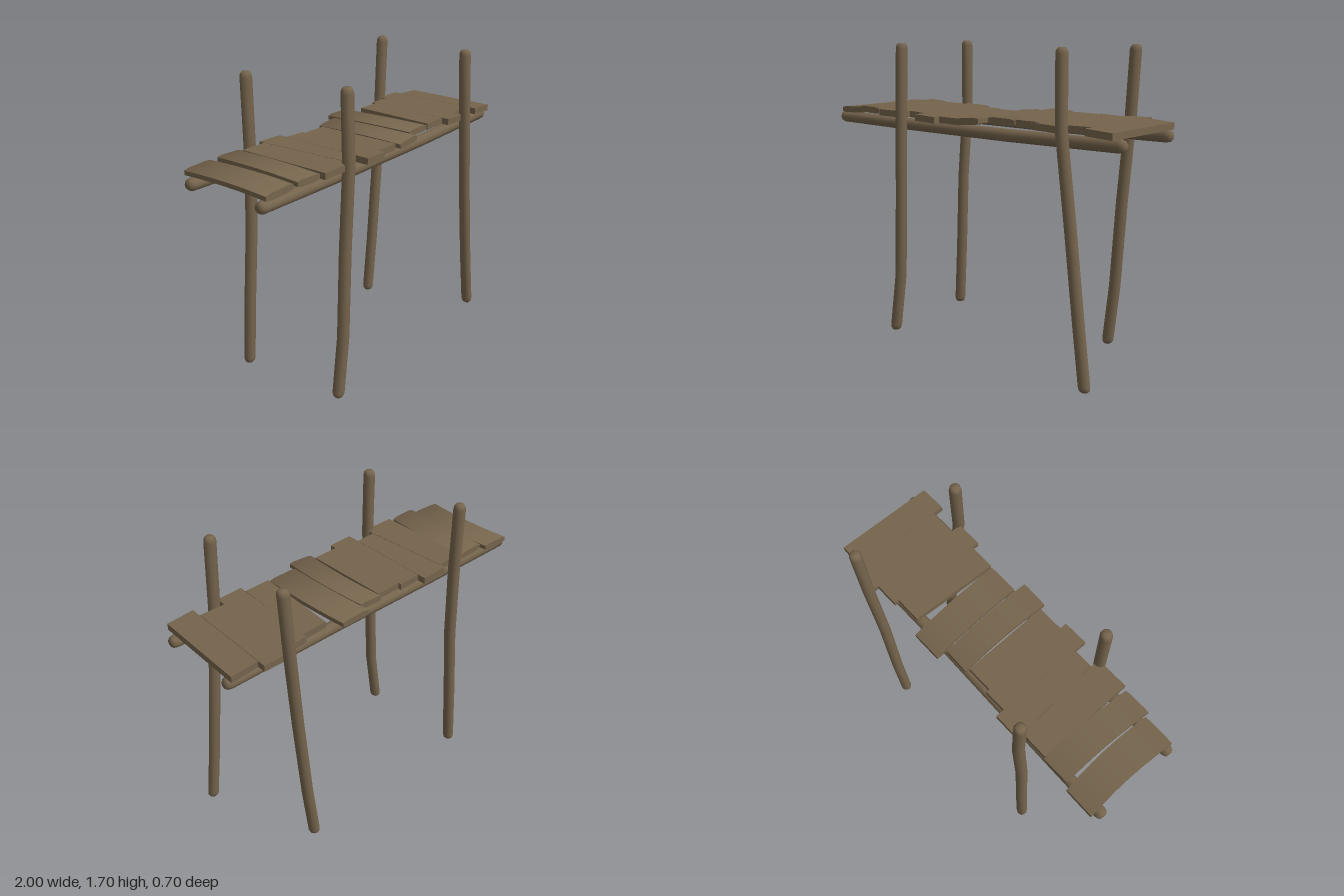
import * as THREE from 'three';
import { mergeVertices } from 'three/addons/utils/BufferGeometryUtils.js';

const wood = new THREE.MeshStandardMaterial({ color: 0x75644c });
wood.name = 'weatheredWood';

// Round log with worn ends, running up y along a bent path of [y, x, z]
function logGeometry(path, r) {
  const y0 = path[0][0], y1 = path[path.length - 1][0];
  const profile = [[0, y0], [r * 0.6, y0], [r * 0.9, y0 + 0.012], [r, y0 + 0.03]];
  for (const p of path.slice(1, -1)) profile.push([r, p[0]]);
  profile.push([r, y1 - 0.03], [r * 0.9, y1 - 0.012], [r * 0.6, y1], [0, y1]);
  let geo = new THREE.LatheGeometry(profile.map(p => new THREE.Vector2(p[0], p[1])), 10);
  const pos = geo.attributes.position;
  for (let i = 0; i < pos.count; i++) {
    const y = pos.getY(i);
    let k = 0;
    while (k < path.length - 2 && y > path[k + 1][0]) k++;
    const a = path[k], b = path[k + 1], t = (y - a[0]) / (b[0] - a[0]);
    pos.setX(i, pos.getX(i) + a[1] + (b[1] - a[1]) * t);
    pos.setZ(i, pos.getZ(i) + a[2] + (b[2] - a[2]) * t);
  }
  geo.deleteAttribute('uv');
  geo.deleteAttribute('normal');
  geo = mergeVertices(geo, 1e-4);
  geo.computeVertexNormals();
  return geo;
}

// Slightly bowed board: x limits at back and front, z limits, height at left and right edge
function plankGeometry([backA, backB, frontA, frontB, z0, z1, yA, yB, bow]) {
  const thick = 0.036;
  const geo = new THREE.BoxGeometry(1, 1, 1, 6, 1, 6);
  const pos = geo.attributes.position, nor = geo.attributes.normal;
  for (let i = 0; i < pos.count; i++) {
    const u = pos.getX(i) + 0.5, v = pos.getZ(i) + 0.5;
    const xa = backA + (frontA - backA) * v, xb = backB + (frontB - backB) * v;
    const worn = bow && (u < 0.01 || u > 0.99) ? 0.65 : 1;
    pos.setXYZ(i,
      xa + (xb - xa) * u + bow * 4 * v * (1 - v),
      yA + (yB - yA) * u + pos.getY(i) * thick * worn,
      z0 + (z1 - z0) * v);
    // loose boards have softly rolled ends
    if (bow && Math.abs(nor.getY(i)) > 0.5) {
      const n = new THREE.Vector3(0, nor.getY(i), (v - 0.5) * 0.9).normalize();
      nor.setXYZ(i, n.x, n.y, n.z);
    }
  }
  return geo;
}

export function createModel() {
  const model = new THREE.Group();
  const add = (geo, name) => {
    const mesh = new THREE.Mesh(geo, wood);
    mesh.name = name;
    model.add(mesh);
  };

  // Four crooked posts
  const posts = {
    frontRightPost: [[0, -0.515, 0.313], [0.35, -0.465, 0.31], [0.85, -0.445, 0.31], [1.3, -0.424, 0.317], [1.7, -0.42, 0.305]],
    backRightPost: [[0, -0.56, -0.313], [0.4, -0.535, -0.308], [0.85, -0.507, -0.296], [1.3, -0.48, -0.308], [1.7, -0.482, -0.31]],
    frontLeftPost: [[0, 0.845, 0.313], [0.35, 0.797, 0.31], [0.85, 0.735, 0.31], [1.3, 0.68, 0.317], [1.7, 0.667, 0.305]],
    backLeftPost: [[0, 0.585, -0.313], [0.35, 0.623, -0.312], [0.85, 0.657, -0.304], [1.3, 0.69, -0.31], [1.7, 0.71, -0.31]],
  };
  for (const name in posts) add(logGeometry(posts[name], 0.033), name);

  // Two long rails under the deck, built upright and laid along x
  const rails = {
    frontRail: [[-1, -1.248, 0.25], [-0.4, -1.243, 0.256], [0.3, -1.242, 0.256], [1, -1.248, 0.246]],
    backRail: [[-1, -1.25, -0.218], [-0.4, -1.243, -0.208], [0.3, -1.243, -0.195], [1, -1.25, -0.2]],
  };
  for (const name in rails) add(logGeometry(rails[name], 0.034).rotateZ(-Math.PI / 2), name);

  // Deck boards from right end to left end
  const planks = [
    [-0.965, -0.79, -0.975, -0.79, -0.275, 0.278, 1.293, 1.3, 0.016],
    [-0.765, -0.605, -0.785, -0.625, -0.252, 0.302, 1.312, 1.307, 0.012],
    [-0.6, -0.44, -0.605, -0.41, -0.24, 0.318, 1.303, 1.302, 0],
    [-0.44, -0.28, -0.41, -0.295, -0.275, 0.262, 1.302, 1.297, 0],
    [-0.28, -0.15, -0.295, -0.15, -0.225, 0.337, 1.297, 1.292, 0],
    [-0.15, 0.002, -0.15, 0.002, -0.205, 0.297, 1.292, 1.291, 0],
    [0.005, 0.15, 0.005, 0.16, -0.23, 0.328, 1.297, 1.309, 0.012],
    [0.155, 0.33, 0.175, 0.35, -0.29, 0.265, 1.312, 1.31, 0.008],
    [0.39, 0.54, 0.358, 0.51, -0.228, 0.268, 1.311, 1.31, 0],
    [0.54, 0.68, 0.51, 0.66, -0.255, 0.31, 1.31, 1.305, 0],
    [0.68, 0.83, 0.66, 0.81, -0.293, 0.25, 1.305, 1.308, 0],
    [0.83, 0.985, 0.81, 0.965, -0.245, 0.312, 1.308, 1.298, 0],
  ];
  planks.forEach((p, i) => add(plankGeometry(p), 'deckPlank' + (i + 1)));

  return model;
}
